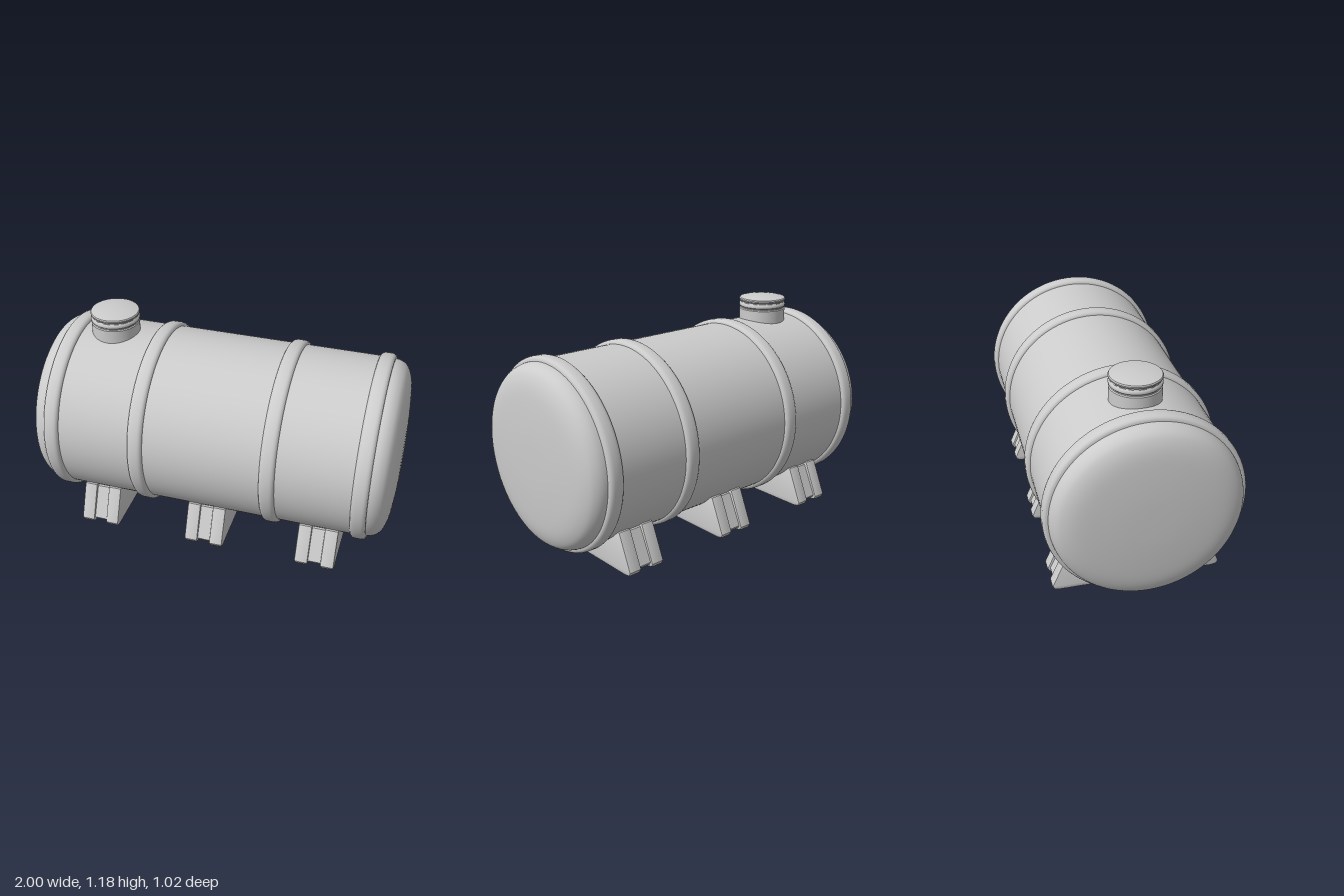
import * as THREE from 'three';
import { toCreasedNormals } from 'three/addons/utils/BufferGeometryUtils.js';

const AXIS_Y = 0.554;
const BODY_R = 0.49;

const material = new THREE.MeshStandardMaterial({ color: 0xcccccc });
const v2 = ([x, y]) => new THREE.Vector2(x, y);

function addMesh(parent, name, geometry) {
  const mesh = new THREE.Mesh(geometry, material);
  mesh.name = name;
  parent.add(mesh);
  return mesh;
}

// Lathe turned so that its axis runs along x; points are [radius, x]
function latheX(points, segments = 96) {
  return new THREE.LatheGeometry(points, segments).rotateZ(-Math.PI / 2);
}

function createTank() {
  // Domed end with a rounded shoulder, mirrored for the other end
  const end = new THREE.SplineCurve([
    [0.487, 0.86], [0.483, 0.9], [0.468, 0.931], [0.44, 0.956],
    [0.385, 0.977], [0.3, 0.989], [0.15, 0.998], [0, 1],
  ].map(v2)).getPoints(28);
  end[end.length - 1].x = 0;
  const left = [v2([BODY_R, 0]), v2([BODY_R, 0.8]), ...end];
  const right = left.slice(1).reverse().map((p) => new THREE.Vector2(p.x, -p.y));
  return latheX([...right, ...left]);
}

function createRing() {
  // Raised hoop with soft shoulders
  const half = [[0.511, 0], [0.511, 0.018], [0.508, 0.029], [0.502, 0.037], [0.494, 0.041], [0.478, 0.042]];
  const left = half.map(v2);
  const right = left.slice(1).reverse().map((p) => new THREE.Vector2(p.x, -p.y));
  return toCreasedNormals(latheX([...right, ...left]), 0.6);
}

function createFiller() {
  // Neck, threaded collar and shallow domed lid
  const points = [
    [0.131, 0.98], [0.131, 1.1], [0.126, 1.105], [0.126, 1.111], [0.132, 1.117],
    [0.133, 1.125], [0.131, 1.133], [0.126, 1.138], [0.126, 1.144], [0.132, 1.15],
    [0.133, 1.157], [0.129, 1.163], [0.105, 1.169], [0.06, 1.175], [0, 1.178],
  ].map(v2);
  return toCreasedNormals(new THREE.LatheGeometry(points, 64), 0.6);
}

// Trapezoid slab in the z-y plane, shrunk by inset, centred at x = 0
function createSlab(width, inset, bevel) {
  const d = inset + bevel;
  const right = [[0.42, 0], [0.443, 0.005], [0.45, 0.018], [0.371, 0.218]]
    .map(([z, y]) => [z - d, y < 0.1 ? y + d : y - d]);
  const left = right.map(([z, y]) => [-z, y]).reverse();
  const shape = new THREE.Shape([...right, ...left].map(v2));
  const geometry = new THREE.ExtrudeGeometry(shape, {
    depth: width - 2 * bevel,
    bevelEnabled: bevel > 0,
    bevelThickness: bevel,
    bevelSize: bevel,
    bevelSegments: 2,
  });
  geometry.translate(0, 0, -width / 2 + bevel).rotateY(Math.PI / 2);
  return toCreasedNormals(geometry, 0.5);
}

function createSaddle() {
  // Two side slabs around a recessed core leave a groove down the middle
  const saddle = new THREE.Group();
  for (const side of [-1, 1]) {
    addMesh(saddle, 'saddleSide', createSlab(0.074, 0, 0.008)).position.x = side * 0.072;
  }
  addMesh(saddle, 'saddleCore', createSlab(0.1, 0.014, 0));
  return saddle;
}

export function createModel() {
  const model = new THREE.Group();
  model.name = 'storageTank';

  addMesh(model, 'tankBody', createTank()).position.y = AXIS_Y;

  for (const x of [-0.84, -0.361, 0.359, 0.84]) {
    addMesh(model, 'hoop', createRing()).position.set(x, AXIS_Y, 0);
  }

  addMesh(model, 'fillerNeck', createFiller()).position.x = -0.628;

  for (const x of [-0.623, -0.003, 0.628]) {
    const saddle = createSaddle();
    saddle.name = 'saddle';
    saddle.position.x = x;
    model.add(saddle);
  }
  return model;
}
